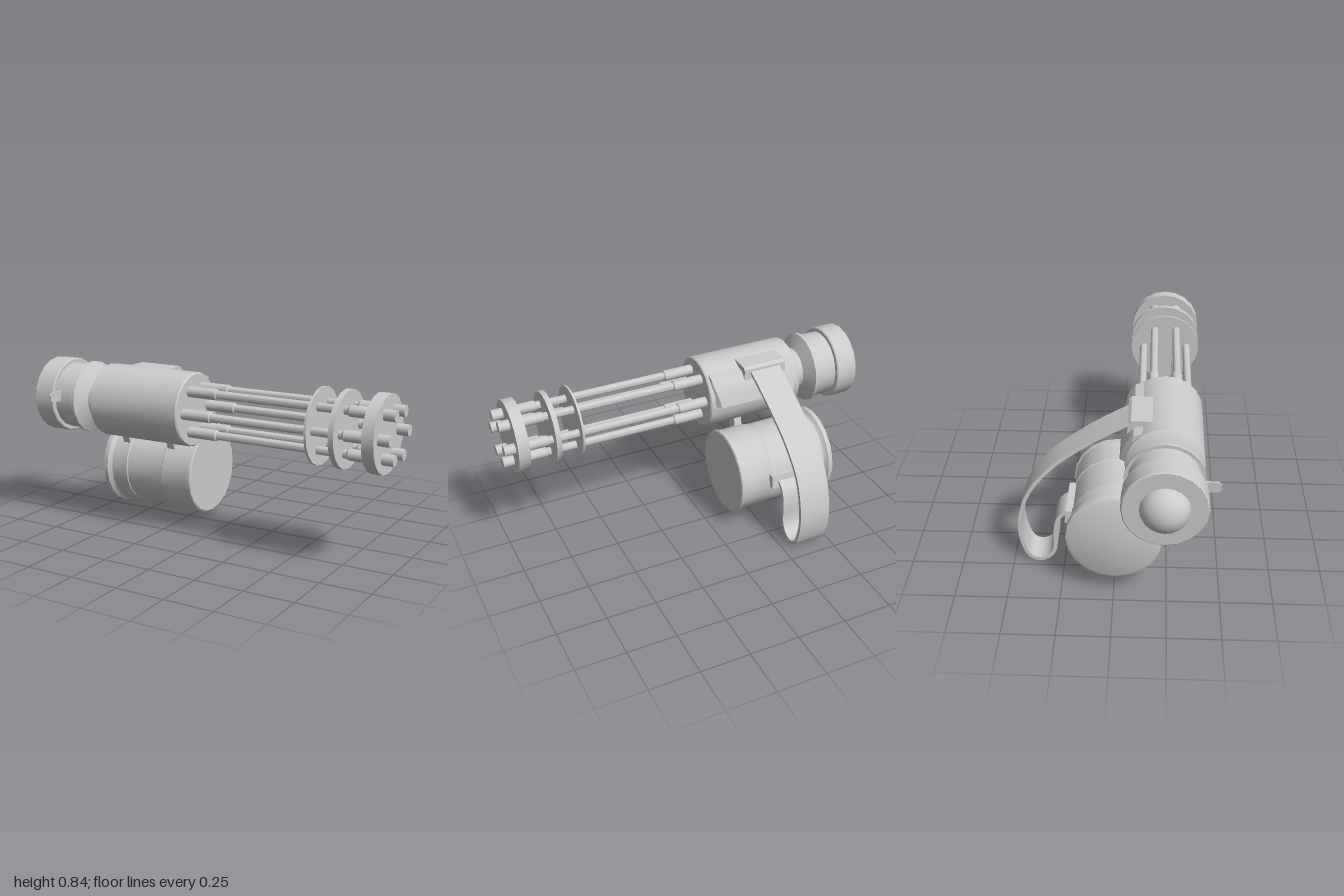
import * as THREE from 'three';
import { toCreasedNormals } from 'three/addons/utils/BufferGeometryUtils.js';

const AXIS_Y = 0.648, AXIS_Z = 0.23; // axis of the rotary gun

export function createModel() {
  const model = new THREE.Group();
  const material = new THREE.MeshStandardMaterial({ color: 0xcccccc });

  function add(name, geometry, parent = model) {
    const mesh = new THREE.Mesh(toCreasedNormals(geometry, 0.5), material);
    mesh.name = name;
    parent.add(mesh);
    return mesh;
  }

  // Turned part along x, from [x, radius] pairs in rising x
  function turned(name, profile, y, z, sides = 20, parent = model) {
    const points = profile.map(([x, r]) => new THREE.Vector2(r, x));
    const geometry = new THREE.LatheGeometry(points, sides).rotateZ(-Math.PI / 2);
    const mesh = add(name, geometry, parent);
    mesh.position.set(0, y, z);
    return mesh;
  }

  // Side outline of [z, y] pairs, extruded from x0 to x1
  function sideExtrusion(outline, x0, x1) {
    const shape = new THREE.Shape(outline.map(([z, y]) => new THREE.Vector2(-z, y)));
    return new THREE.ExtrudeGeometry(shape, { depth: x1 - x0, bevelEnabled: false })
      .rotateY(Math.PI / 2).translate(x0, 0, 0);
  }

  // Motor housing, waist and receiver body
  turned('rearCap', [
    [-0.915, 0], [-0.915, 0.186], [-0.91, 0.191], [-0.805, 0.191], [-0.8, 0.186],
    [-0.8, 0.168], [-0.69, 0.168], [-0.69, 0.184], [-0.672, 0.184],
    [-0.635, 0.112], [-0.6, 0.11], [-0.59, 0.125],
  ], AXIS_Y, AXIS_Z);
  turned('receiver', [
    [-0.61, 0.108], [-0.595, 0.115], [-0.575, 0.172], [-0.565, 0.184],
    [-0.065, 0.184], [-0.058, 0.178], [-0.058, 0],
  ], AXIS_Y, AXIS_Z);

  // Rounded motor dome at the back
  const dome = [];
  for (let i = 0; i <= 8; i++) {
    const a = (i / 8) * Math.PI / 2;
    dome.push([-0.9 - 0.1 * Math.cos(a), 0.113 * Math.sin(a)]);
  }
  turned('motorDome', dome, AXIS_Y, AXIS_Z);

  // Thin lever on the front side of the housing
  add('lever', sideExtrusion([
    [0.38, 0.645], [0.46, 0.647], [0.473, 0.657], [0.475, 0.685],
    [0.462, 0.698], [0.38, 0.7],
  ], -0.775, -0.765));

  // Six barrels with thick breech and muzzle ends
  const barrels = new THREE.Group();
  barrels.name = 'barrels';
  model.add(barrels);
  for (let i = 0; i < 6; i++) {
    const a = (i * Math.PI) / 3;
    turned('barrel', [
      [-0.07, 0], [-0.07, 0.027], [0.095, 0.027], [0.1, 0.02],
      [0.775, 0.02], [0.785, 0.027], [1, 0.027], [1, 0],
    ], AXIS_Y + 0.116 * Math.sin(a), AXIS_Z + 0.116 * Math.cos(a), 14, barrels);
  }

  // Barrel clamp discs
  for (const [x0, x1] of [[0.614, 0.625], [0.731, 0.757], [0.888, 0.945]]) {
    turned('barrelClamp', [[x0, 0], [x0, 0.184], [x1, 0.184], [x1, 0]], AXIS_Y, AXIS_Z, 20, barrels);
  }

  // Ammunition drum with end rims and a shallow middle band
  turned('drum', [
    [-0.642, 0], [-0.642, 0.212], [-0.634, 0.228], [-0.61, 0.23], [-0.603, 0.22],
    [-0.592, 0.212], [-0.5, 0.214], [-0.495, 0.209], [-0.285, 0.209], [-0.28, 0.214],
    [-0.128, 0.214], [-0.125, 0.221], [-0.11, 0.221], [-0.105, 0.214], [-0.105, 0],
  ], 0.275, 0);

  // Two brackets between drum and receiver
  for (const x of [-0.525, -0.25]) {
    add('drumBracket', sideExtrusion([
      [0.165, 0.405], [0.19, 0.48], [0.18, 0.51], [0.13, 0.51], [0.115, 0.45],
    ], x - 0.02, x + 0.02));
  }

  // Flared cover along the back of the receiver, with sloped ends
  const cover = sideExtrusion([
    [0.13, 0.8], [0.085, 0.79], [0.055, 0.755], [0.036, 0.7], [0.022, 0.645], [0.06, 0.645],
  ], -0.555, -0.075);
  const cp = cover.attributes.position;
  for (let i = 0; i < cp.count; i++) {
    const inset = THREE.MathUtils.clamp((0.06 - cp.getZ(i)) * 0.9, 0, 0.035);
    cp.setX(i, cp.getX(i) + (cp.getX(i) < -0.3 ? inset : -inset));
  }
  add('receiverCover', cover);

  // Feed mouths on the receiver and on the drum
  add('receiverFeed', sideExtrusion([
    [0.17, 0.822], [0.072, 0.822], [0.057, 0.81], [0.055, 0.75], [0.17, 0.74],
  ], -0.482, -0.25));
  add('drumFeed', sideExtrusion([
    [-0.19, 0.335], [-0.234, 0.335], [-0.242, 0.265], [-0.19, 0.265],
  ], -0.51, -0.268));

  // Ammunition belt: flat ribbon following a looping side path
  const path = new THREE.CatmullRomCurve3([
    [0.07, 0.793], [-0.07, 0.715], [-0.18, 0.643], [-0.28, 0.568], [-0.35, 0.495],
    [-0.4, 0.428], [-0.44, 0.34], [-0.465, 0.2], [-0.45, 0.095], [-0.42, 0.03],
    [-0.378, 0.01], [-0.33, 0.025], [-0.3, 0.065], [-0.292, 0.11], [-0.292, 0.18],
    [-0.278, 0.25], [-0.255, 0.282], [-0.225, 0.298],
  ].map(([z, y]) => new THREE.Vector3(0, y, z)));
  const outer = [], inner = [];
  for (let i = 0; i <= 60; i++) {
    const p = path.getPointAt(i / 60), t = path.getTangentAt(i / 60);
    outer.push([p.z + t.y * 0.009, p.y - t.z * 0.009]);
    inner.unshift([p.z - t.y * 0.009, p.y + t.z * 0.009]);
  }
  const belt = sideExtrusion([...outer, ...inner], -0.468, -0.305);
  const bp = belt.attributes.position;
  for (let i = 0; i < bp.count; i++) {
    bp.setX(i, bp.getX(i) + 0.018 * THREE.MathUtils.clamp((bp.getY(i) - 0.45) / 0.33, 0, 1));
  }
  add('ammunitionBelt', belt);

  return model;
}
